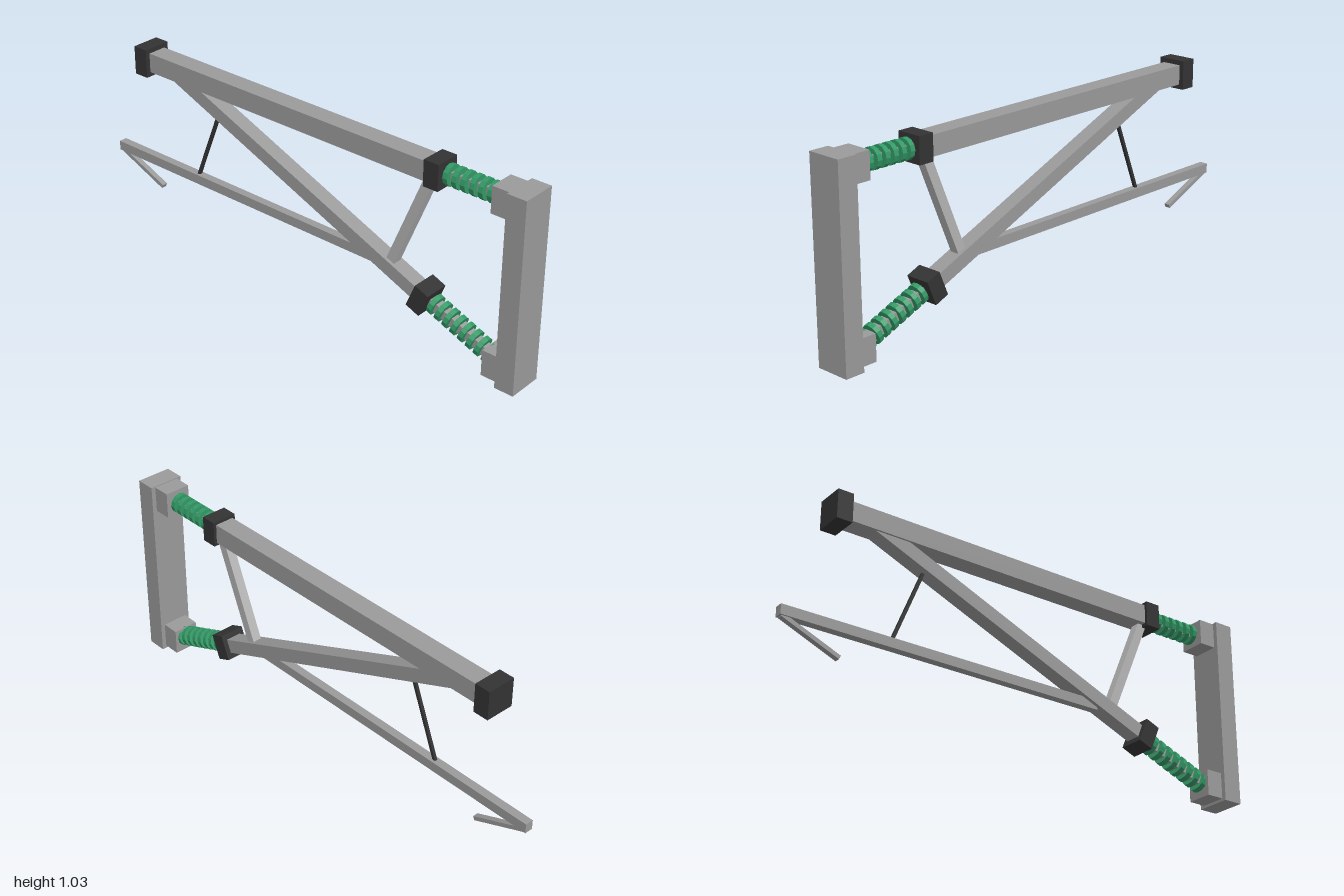
import * as THREE from 'three';

const material = (name, color) => Object.assign(new THREE.MeshStandardMaterial({ color }), { name });

export function createModel() {
  const grey = material('grey metal', 0x9a9a9a);
  const lightGrey = material('light grey metal', 0xb4b4b4);
  const dark = material('dark rubber', 0x333333);
  const green = material('green spring', 0x339966);

  // The frame lies in one upright plane, turned onto the diagonal.
  const group = new THREE.Group();
  group.name = 'suspensionFrame';
  group.rotation.y = -Math.PI / 4;

  const add = (name, geometry, mat, x, y, angle = 0) => {
    const mesh = new THREE.Mesh(geometry, mat);
    mesh.name = name;
    mesh.position.set(x, y, 0);
    mesh.rotation.z = angle;
    group.add(mesh);
    return mesh;
  };

  // Rectangular bar between two points of the plane
  const bar = (name, mat, [x0, y0], [x1, y1], height, width) =>
    add(name, new THREE.BoxGeometry(Math.hypot(x1 - x0, y1 - y0), height, width), mat,
      (x0 + x1) / 2, (y0 + y1) / 2, Math.atan2(y1 - y0, x1 - x0));

  // Row of discs on a thin core rod
  const spring = (name, [x0, y0], [x1, y1], count) => {
    const angle = Math.atan2(y1 - y0, x1 - x0);
    bar(name + 'Core', grey, [x0, y0], [x1, y1], 0.05, 0.05);
    const disc = new THREE.CylinderGeometry(0.055, 0.055, 0.026, 12).toNonIndexed();
    disc.rotateZ(Math.PI / 2);
    disc.computeVertexNormals();
    for (let i = 0; i < count; i++) {
      const t = (i + 0.5) / count;
      add(name + 'Disc', disc, green, x0 + (x1 - x0) * t, y0 + (y1 - y0) * t, angle);
    }
  };

  // Wall post and its two mounts
  bar('post', grey, [1.213, 0.515], [1.319, 0.515], 1.03, 0.19);
  bar('upperMount', grey, [1.117, 0.955], [1.22, 0.955], 0.14, 0.141);
  bar('lowerMount', grey, [1.117, 0.085], [1.22, 0.085], 0.14, 0.141);

  // Top beam with end cap, collar and spring
  bar('topBeam', grey, [-1.09, 0.953], [0.74, 0.953], 0.105, 0.106);
  bar('endCap', dark, [-1.167, 0.953], [-1.082, 0.953], 0.155, 0.156);
  bar('upperCollar', dark, [0.735, 0.953], [0.82, 0.953], 0.138, 0.138);
  spring('upperSpring', [0.82, 0.955], [1.117, 0.955], 6);

  // Diagonal brace with collar and spring
  bar('diagonalBrace', grey, [-0.93, 0.939], [0.70, 0.269], 0.075, 0.085);
  bar('lowerCollar', dark, [0.685, 0.275], [0.763, 0.243], 0.138, 0.138);
  spring('lowerSpring', [0.763, 0.243], [1.14, 0.093], 8);

  // Short strut between beam and brace
  bar('shortStrut', lightGrey, [0.75, 0.935], [0.505, 0.34], 0.05, 0.05);

  // Lower rail with hanger rod and folded tip
  bar('lowerRail', grey, [-1.393, 0.356], [0.42, 0.356], 0.052, 0.045);
  bar('railTip', grey, [-1.38, 0.335], [-1.075, 0.207], 0.022, 0.03);
  bar('hangerRod', dark, [-0.628, 0.80], [-0.80, 0.37], 0.016, 0.016);

  const model = new THREE.Group();
  model.name = 'model';
  model.add(group);
  return model;
}
